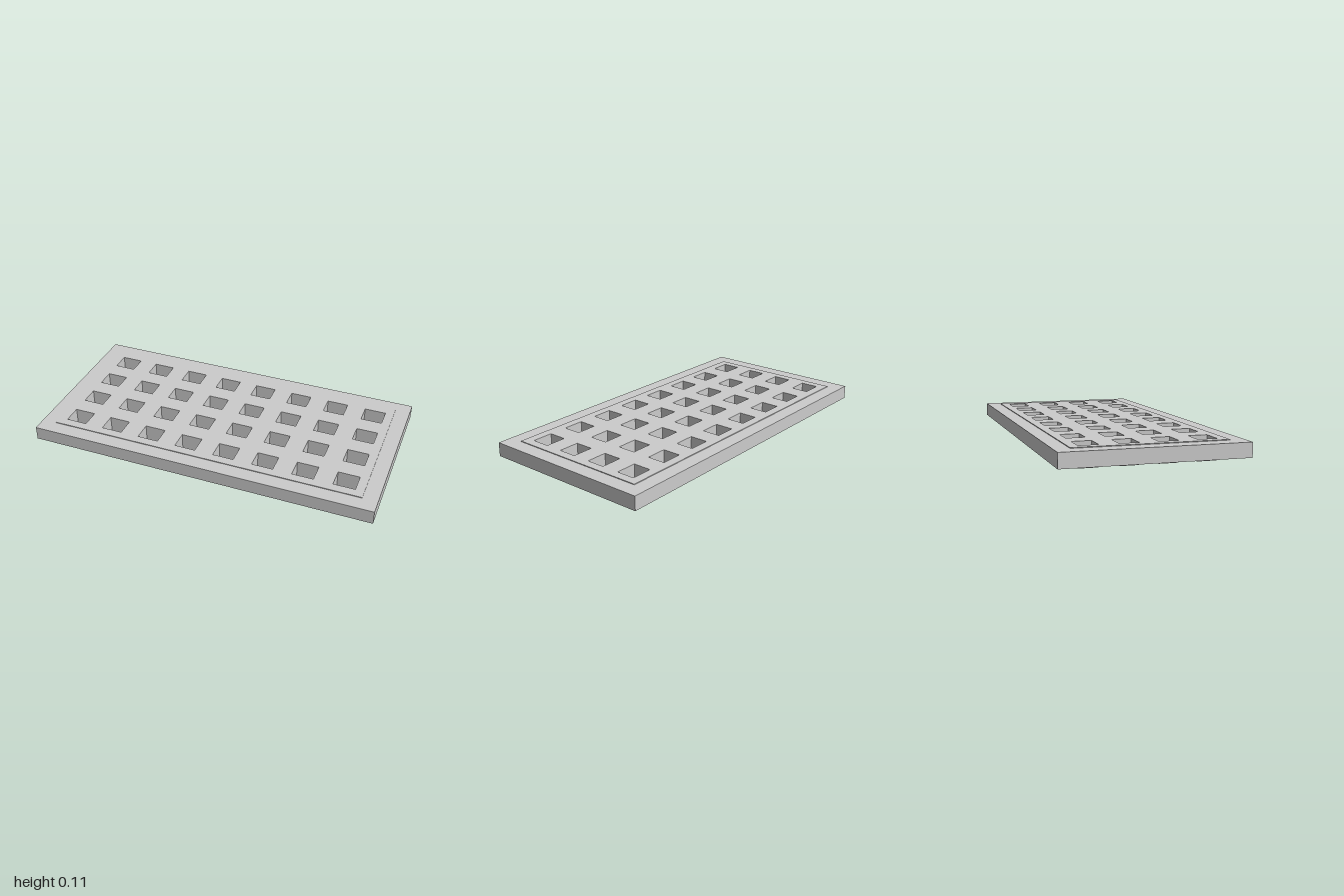
import * as THREE from 'three';

const material = new THREE.MeshStandardMaterial({
  color: 0xcccccc, flatShading: true, side: THREE.DoubleSide,
});

const BOTTOM = 0.03, RIM = 0.11, PANEL = 0.114;
const PANEL_W = 1.83, PANEL_D = 0.834;
const COLS = 8, ROWS = 4, PITCH_X = 0.23, PITCH_Z = 0.209;
const HOLE_W = 0.122, HOLE_D = 0.106;

// Four thin upright walls, open at top and bottom
function walls(name, w, d, y0, y1) {
  const g = new THREE.CylinderGeometry(Math.SQRT1_2, Math.SQRT1_2, 1, 4, 1, true);
  g.rotateY(Math.PI / 4);
  g.scale(w, y1 - y0, d);
  g.translate(0, (y0 + y1) / 2, 0);
  const mesh = new THREE.Mesh(g, material);
  mesh.name = name;
  return mesh;
}

function rectangle(PathType, w, d, x = 0, z = 0) {
  return new PathType([[-1, -1], [1, -1], [1, 1], [-1, 1]].map(
    ([sx, sz]) => new THREE.Vector2(x + sx * w / 2, z + sz * d / 2)));
}

// Flat horizontal sheet facing up
function sheet(name, shape, y) {
  const g = new THREE.ShapeGeometry(shape);
  g.rotateX(-Math.PI / 2);
  g.translate(0, y, 0);
  const mesh = new THREE.Mesh(g, material);
  mesh.name = name;
  return mesh;
}

export function createModel() {
  const group = new THREE.Group();
  group.name = 'cellTray';

  // Outer skirt and flat rim
  group.add(walls('outerSkirt', 2, 1, BOTTOM, RIM));
  const rim = rectangle(THREE.Shape, 2, 1);
  rim.holes.push(rectangle(THREE.Path, PANEL_W, PANEL_D));
  group.add(sheet('rim', rim, RIM));

  // Slightly raised panel with a grid of openings
  group.add(walls('panelStep', PANEL_W, PANEL_D, RIM, PANEL));
  const panel = rectangle(THREE.Shape, PANEL_W, PANEL_D);
  const cells = new THREE.Group();
  cells.name = 'cells';
  for (let r = 0; r < ROWS; r++) {
    for (let c = 0; c < COLS; c++) {
      const x = (c - (COLS - 1) / 2) * PITCH_X;
      const z = (r - (ROWS - 1) / 2) * PITCH_Z;
      panel.holes.push(rectangle(THREE.Path, HOLE_W, HOLE_D, x, z));
      // Open square tube hanging below each opening
      const cell = walls('cell', HOLE_W, HOLE_D, 0, PANEL);
      cell.position.set(x, 0, z);
      cells.add(cell);
    }
  }
  group.add(sheet('raisedPanel', panel, PANEL), cells);
  return group;
}
